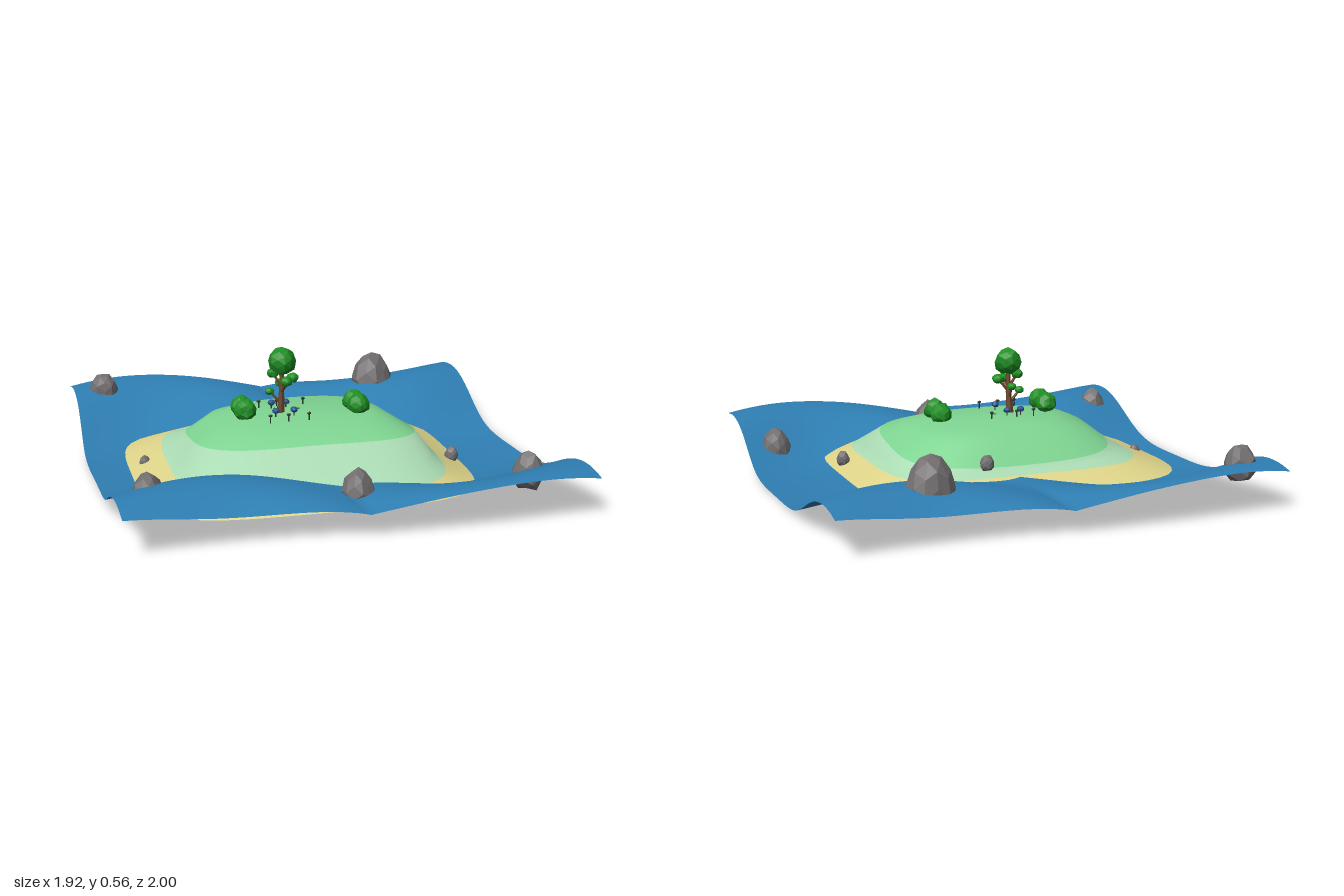
import * as THREE from 'three';

const mat = (name, color, side = THREE.FrontSide, flatShading = false) => {
  const m = new THREE.MeshStandardMaterial({ color, side, flatShading });
  m.name = name;
  return m;
};

function makeMaterials() {
  return {
    water: mat('water blue', 0x2f80b5, THREE.DoubleSide),
    sand: mat('sand', 0xdfd58a, THREE.DoubleSide),
    slope: mat('pale grass', 0xabdcb4, THREE.DoubleSide),
    grass: mat('grass', 0x7fd592, THREE.DoubleSide),
    rock: mat('rock grey', 0x726e70, THREE.FrontSide, true),
    leaf: mat('leaf green', 0x1f8f24, THREE.FrontSide, true),
    bark: mat('bark brown', 0x6e4a2c, THREE.FrontSide, true),
    petal: mat('petal blue', 0x2b5590, THREE.FrontSide, true),
    stem: mat('stem dark', 0x2c3a30, THREE.FrontSide, true),
  };
}

function add(parent, name, geometry, material, x = 0, y = 0, z = 0) {
  const mesh = new THREE.Mesh(geometry, material);
  mesh.name = name;
  mesh.position.set(x, y, z);
  parent.add(mesh);
  return mesh;
}

// Water level: still along x = 0, with wide troughs and narrow crests at both sides
function waterHeight(x, z) {
  const swell = Math.pow(Math.abs(Math.sin(Math.PI * x / 1.5)), 0.85);
  const trough = 0.16 * Math.sin(Math.PI * x / 0.96);
  const wave = Math.cos(Math.PI * (z - trough) / 0.82);
  return 0.108 - 0.095 * swell * (wave + 0.5 * (1 - wave * wave));
}

function waterGeometry() {
  const g = new THREE.PlaneGeometry(1.91, 1.91, 72, 72).rotateX(-Math.PI / 2);
  const p = g.attributes.position;
  for (let i = 0; i < p.count; i++) {
    const x = p.getX(i), z = p.getZ(i);
    const shift = 0.045 * Math.sin(Math.PI * x / 0.96);
    p.setXYZ(i, x + 0.006 * Math.sin(z * 7), waterHeight(x, z + shift), z + shift);
  }
  g.computeVertexNormals();
  return g;
}

// Land: rounded contours from the shore inwards
// each contour: left, right, back, front, height, tilt towards front, squareness, material
const CONTOURS = [
  [-0.80, 0.625, -0.495, 0.70, 0.045, -0.010, 4.5, 0],
  [-0.65, 0.505, -0.40, 0.65, 0.098, -0.014, 4, 1],
  [-0.60, 0.47, -0.365, 0.57, 0.133, 0.004, 3.6, 1],
  [-0.54, 0.43, -0.33, 0.41, 0.180, 0.045, 3.4, 2],
  [-0.44, 0.33, -0.27, 0.32, 0.240, 0.012, 3, 2],
  [-0.32, 0.25, -0.18, 0.22, 0.270, 0.002, 2.6, 2],
  [-0.07, -0.05, 0.03, 0.05, 0.280, 0, 2, 2],
];

function landGeometry() {
  const N = 72, position = [], index = [];
  const g = new THREE.BufferGeometry();
  CONTOURS.forEach(([x0, x1, z0, z1, y, tilt, power]) => {
    for (let i = 0; i < N; i++) {
      const a = i / N * Math.PI * 2, c = Math.cos(a), s = Math.sin(a);
      const r = Math.pow(Math.abs(c) ** power + Math.abs(s) ** power, -1 / power);
      position.push((x0 + x1) / 2 + (x1 - x0) / 2 * r * c, y + tilt * s, (z0 + z1) / 2 + (z1 - z0) / 2 * r * s);
    }
  });
  for (let k = 0; k < CONTOURS.length - 1; k++) {
    g.addGroup(index.length, N * 6, CONTOURS[k][7]);
    for (let i = 0; i < N; i++) {
      const a = k * N + i, b = k * N + (i + 1) % N, c = a + N, d = b + N;
      index.push(a, c, b, b, c, d);
    }
  }
  g.setAttribute('position', new THREE.Float32BufferAttribute(position, 3));
  g.setIndex(index);
  g.computeVertexNormals();
  return g;
}

// Faceted lump: icosahedron pushed in and out by a rule, narrower towards the top, flattened below
function lump(rx, ry, rz, seed, taper, rough) {
  const g = new THREE.IcosahedronGeometry(1, 1);
  const p = g.attributes.position, v = new THREE.Vector3();
  for (let i = 0; i < p.count; i++) {
    v.fromBufferAttribute(p, i);
    const k = 1 + rough * Math.sin(v.x * 5.1 + seed * 2.3) * Math.cos(v.z * 4.3 + v.y * 3.7 + seed);
    const w = k * (1 - taper * v.y);
    p.setXYZ(i, v.x * rx * w, Math.max(v.y * k, -0.9) * ry, v.z * rz * w);
  }
  g.computeVertexNormals();
  return g;
}

// Tapered rod between two points
function rod(parent, name, a, b, r0, r1, material) {
  const from = new THREE.Vector3(...a), dir = new THREE.Vector3(...b).sub(from);
  const mesh = add(parent, name, new THREE.CylinderGeometry(r1, r0, dir.length(), 6), material);
  mesh.position.copy(from).addScaledVector(dir, 0.5);
  mesh.quaternion.setFromUnitVectors(new THREE.Vector3(0, 1, 0), dir.normalize());
}

export function createModel() {
  const m = makeMaterials();
  const model = new THREE.Group();
  model.name = 'island';

  add(model, 'water', waterGeometry(), m.water);
  add(model, 'land', landGeometry(), [m.sand, m.slope, m.grass]);

  // Rocks: x, y, z, radius, half height
  [
    [0.495, 0.195, -0.69, 0.100, 0.125],
    [-0.81, 0.190, -0.81, 0.068, 0.082],
    [-0.81, 0.147, 0.61, 0.068, 0.088],
    [0.81, 0.090, 0.56, 0.066, 0.088],
    [0.02, 0.128, 0.71, 0.068, 0.088],
    [0.125, 0.165, -0.345, 0.030, 0.036],
    [-0.73, 0.068, -0.02, 0.025, 0.032],
    [0.58, 0.085, 0.25, 0.029, 0.036],
  ].forEach(([x, y, z, r, h], i) => add(model, 'rock', lump(r, h, r * 0.95, i + 1, 0.2, 0.09), m.rock, x, y, z));

  // Bushes in pairs
  [[-0.313, 0.318], [0.19, 0.308]].forEach(([x, y], i) => {
    const bush = new THREE.Group();
    bush.name = 'bush';
    add(bush, 'bushFront', lump(0.049, 0.048, 0.045, i + 2, 0.2, 0.1), m.leaf, x, y, 0.122);
    add(bush, 'bushBack', lump(0.048, 0.046, 0.045, i + 5, 0.2, 0.1), m.leaf, x, y - 0.004, 0.045);
    model.add(bush);
  });

  // Tree with branches ending in leaf clumps
  const tree = new THREE.Group();
  tree.name = 'tree';
  const fork = [-0.14, 0.37, 0.07];
  rod(tree, 'trunk', [-0.145, 0.265, 0.065], fork, 0.018, 0.012, m.bark);
  rod(tree, 'trunkTop', fork, [-0.14, 0.48, 0.075], 0.012, 0.009, m.bark);
  add(tree, 'crown', lump(0.060, 0.062, 0.058, 3, -0.05, 0.1), m.leaf, -0.14, 0.505, 0.078);
  [
    [-0.092, 0.43, 0.075, 0.026],
    [-0.193, 0.375, 0.07, 0.02],
    [-0.175, 0.452, 0.055, 0.026],
    [-0.13, 0.425, 0.115, 0.026],
    [-0.14, 0.40, 0.03, 0.02],
  ].forEach(([x, y, z, r], i) => {
    rod(tree, 'branch', [-0.142, y - 0.06, 0.07], [x, y, z], 0.007, 0.005, m.bark);
    add(tree, 'leafClump', lump(r, r * 0.85, r, i, 0, 0.1), m.leaf, x, y, z);
  });
  model.add(tree);

  // Flowers around the tree: small dark buds outside, blue blooms near the trunk
  [
    [-0.22, -0.03], [-0.14, -0.03], [-0.02, -0.03],
    [-0.22, 0.20], [-0.14, 0.20], [-0.05, 0.20],
    [-0.17, 0.0], [-0.105, 0.0], [-0.18, 0.13], [-0.10, 0.13],
  ].forEach(([x, z], i) => {
    const big = i > 5;
    const flower = new THREE.Group();
    flower.name = 'flower';
    rod(flower, 'stem', [x, 0.265, z], [x, 0.3, z], 0.003, 0.003, m.stem);
    add(flower, 'bloom', lump(big ? 0.016 : 0.009, big ? 0.013 : 0.006, big ? 0.018 : 0.006, i, 0, 0.1),
      big ? m.petal : m.stem, x, 0.303, z);
    model.add(flower);
  });

  return model;
}
